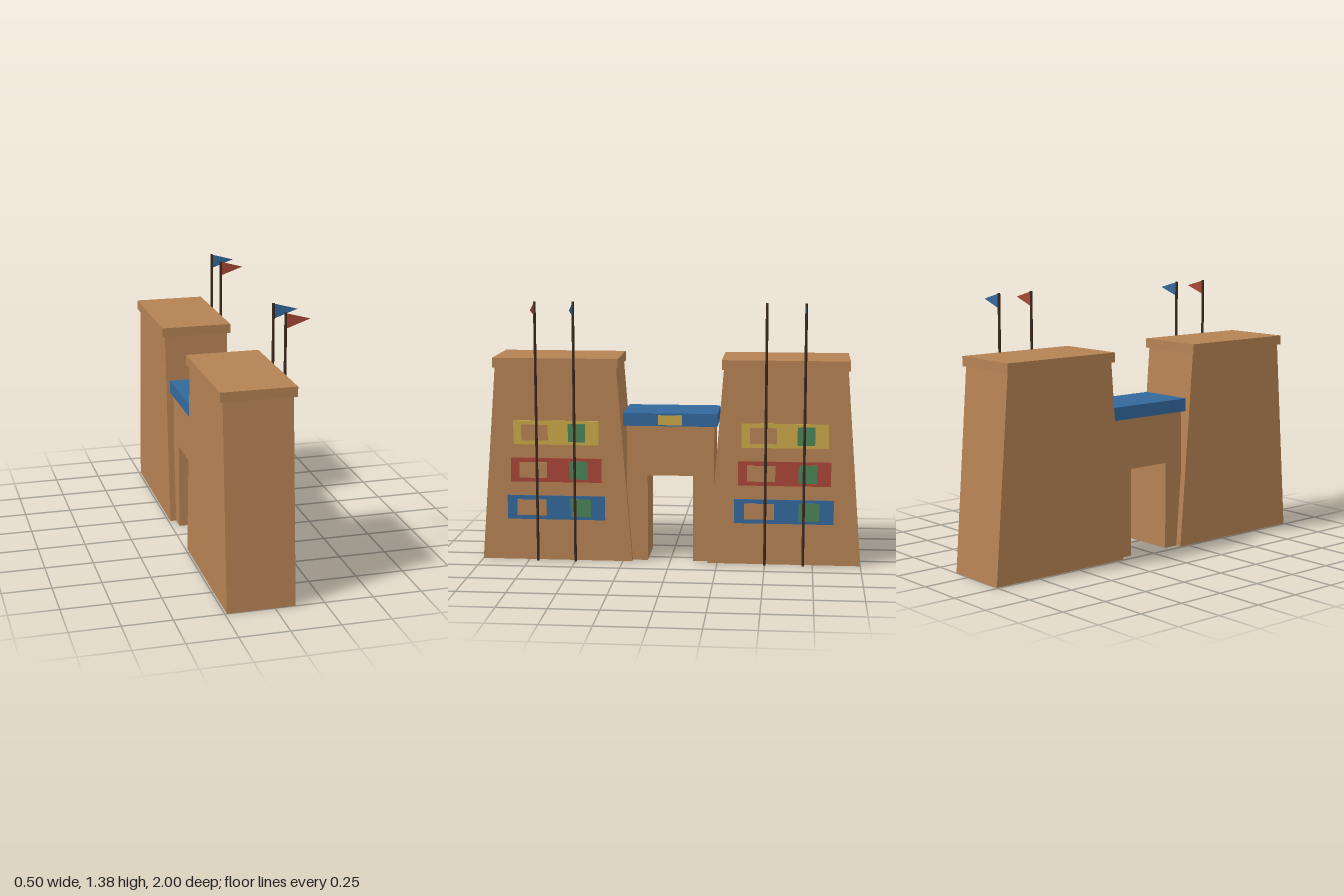
import * as THREE from 'three';

const mat = (name, color) => {
  const m = new THREE.MeshStandardMaterial({ color });
  m.name = name;
  return m;
};

export function createModel() {
  const sandstone = mat('sandstone', 0xb58254);
  const blue = mat('blue', 0x33699c);
  const red = mat('red', 0xa84636);
  const yellow = mat('yellow', 0xc8a848);
  const green = mat('green', 0x4c8458);
  const wood = mat('dark wood', 0x3c2a20);
  const redCloth = red.clone(), blueCloth = blue.clone();
  redCloth.name = 'red cloth';
  blueCloth.name = 'blue cloth';
  redCloth.side = blueCloth.side = THREE.DoubleSide;

  const model = new THREE.Group();
  model.name = 'templeGate';

  const add = (parent, name, geometry, material) => {
    const mesh = new THREE.Mesh(geometry, material);
    mesh.name = name;
    parent.add(mesh);
    return mesh;
  };
  // Box given by its limits on each axis
  const box = (parent, name, material, [x0, x1], [y0, y1], [z0, z1]) => {
    const mesh = add(parent, name, new THREE.BoxGeometry(x1 - x0, y1 - y0, z1 - z0), material);
    mesh.position.set((x0 + x1) / 2, (y0 + y1) / 2, (z0 + z1) / 2);
    return mesh;
  };
  // Outline in (z, y), extruded along x from x0 to x1
  const slab = (points, x0, x1) => {
    const shape = new THREE.Shape(points.map(([z, y]) => new THREE.Vector2(-z, y)));
    return new THREE.ExtrudeGeometry(shape, { depth: x1 - x0, bevelEnabled: false })
      .rotateY(Math.PI / 2).translate(x0, 0, 0);
  };

  // Painted rows: centre height, band ends, niche ends and green panel ends along z
  const rows = [
    { name: 'yellow', m: yellow, y: 0.686, band: [-0.225, 0.226], niche: [0.043, 0.183], panel: [-0.155, -0.064] },
    { name: 'red', m: red, y: 0.486, band: [-0.24, 0.242], niche: [0.049, 0.196], panel: [-0.168, -0.072] },
    { name: 'blue', m: blue, y: 0.284, band: [-0.257, 0.263], niche: [0.054, 0.21], panel: [-0.182, -0.075] },
  ];

  const pennant = new THREE.ShapeGeometry(new THREE.Shape([
    new THREE.Vector2(0, 1.298), new THREE.Vector2(0.12, 1.34), new THREE.Vector2(0, 1.373),
  ]));

  for (const [side, z] of [['left', 0.6], ['right', -0.6]]) {
    const tower = new THREE.Group();
    tower.name = side + 'Tower';
    tower.position.z = z;
    model.add(tower);

    // Battered tower with overhanging cornice
    add(tower, 'towerBody', slab([[-0.4, 0], [0.4, 0], [0.32, 1.03], [-0.32, 1.03]], -0.24, 0.103), sandstone);
    box(tower, 'cornice', sandstone, [-0.255, 0.12], [1.03, 1.08], [-0.33, 0.33]);

    // Painted reliefs on the facade
    for (const r of rows) {
      box(tower, r.name + 'Band', r.m, [0.1, 0.109], [r.y - 0.064, r.y + 0.064], r.band);
      box(tower, r.name + 'Niche', sandstone, [0.105, 0.113], [r.y - 0.042, r.y + 0.042], r.niche);
      box(tower, r.name + 'GreenPanel', green, [0.105, 0.113], [r.y - 0.048, r.y + 0.048], r.panel);
    }

    // Flagpoles with pennants
    for (const [name, dz, cloth] of [['red', 0.1, redCloth], ['blue', -0.1, blueCloth]]) {
      const pole = add(tower, name + 'Flagpole', new THREE.CylinderGeometry(0.007, 0.007, 1.375, 8), wood);
      pole.position.set(0.127, 0.6875, dz);
      add(tower, name + 'Pennant', pennant, cloth).position.set(0.13, 0, dz);
    }
  }

  // Central gateway, open through the middle
  const gate = new THREE.Group();
  gate.name = 'gateway';
  model.add(gate);
  add(gate, 'gateWall', slab([
    [-0.23, 0], [-0.12, 0], [-0.12, 0.46], [0.12, 0.46], [0.12, 0], [0.23, 0], [0.23, 0.725], [-0.23, 0.725],
  ], -0.207, 0.07), sandstone);
  box(gate, 'gateRoof', blue, [-0.222, 0.083], [0.725, 0.793], [-0.247, 0.247]);
  box(gate, 'gateEmblem', yellow, [0.083, 0.092], [0.732, 0.783], [-0.062, 0.062]);

  return model;
}
